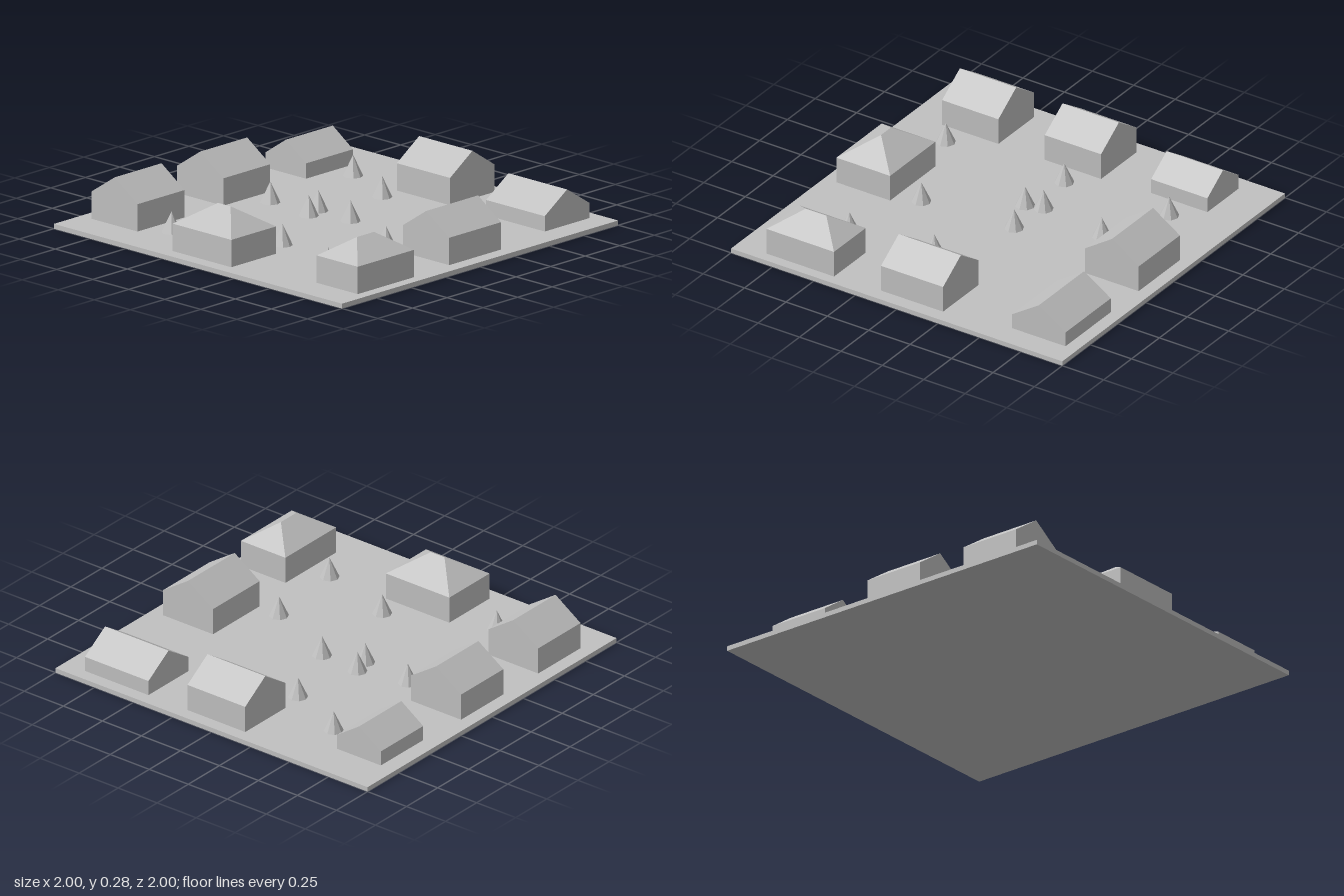
import * as THREE from 'three';

const BASE = 0.025;
const stone = new THREE.MeshStandardMaterial({ color: 0xc0c0c0 });
stone.name = 'pale grey';
stone.flatShading = true;

// Roof along x: the ridge ends are pulled in by inset (0 gives upright gables)
function roofGeometry(length, width, height, inset) {
  const l = length / 2, w = width / 2, r = l - inset;
  const a = [-l, 0, w], b = [l, 0, w], c = [l, 0, -w], d = [-l, 0, -w];
  const p = [-r, height, 0], q = [r, height, 0];
  const corners = [a, b, q, a, q, p, b, c, q, c, d, p, c, p, q, d, a, p];
  const geometry = new THREE.BufferGeometry();
  geometry.setAttribute('position', new THREE.Float32BufferAttribute(corners.flat(), 3));
  geometry.computeVertexNormals();
  return geometry;
}

function addMesh(parent, geometry, name, x, y, z) {
  const mesh = new THREE.Mesh(geometry, stone);
  mesh.name = name;
  mesh.position.set(x, y, z);
  parent.add(mesh);
  return mesh;
}

// House filling a footprint, with its ridge along x or z
function house({ name, x, z, eave, ridge, along, inset = 0 }) {
  const group = new THREE.Group();
  group.name = name;
  const sx = x[1] - x[0], sz = z[1] - z[0];
  const [length, width] = along === 'x' ? [sx, sz] : [sz, sx];
  const wall = eave - BASE;
  addMesh(group, new THREE.BoxGeometry(length, wall, width), 'walls', 0, wall / 2, 0);
  addMesh(group, roofGeometry(length, width, ridge - eave, inset), 'roof', 0, wall, 0);
  group.position.set((x[0] + x[1]) / 2, BASE, (z[0] + z[1]) / 2);
  if (along === 'z') group.rotation.y = Math.PI / 2;
  return group;
}

const TALL = { eave: 0.168, ridge: 0.275 };
const LOW = { eave: 0.105, ridge: 0.21 };

const HOUSES = [
  { name: 'leftBackHouse', x: [-0.91, -0.63], z: [-0.78, -0.44], along: 'z', eave: 0.105, ridge: 0.2 },
  { name: 'leftMiddleHouse', x: [-0.925, -0.605], z: [-0.155, 0.185], along: 'z', ...TALL },
  { name: 'leftFrontHouse', x: [-0.925, -0.605], z: [0.465, 0.805], along: 'z', ...TALL },
  { name: 'backMiddleHouse', x: [-0.16, 0.21], z: [-0.93, -0.607], along: 'x', ...TALL },
  { name: 'backRightHouse', x: [0.46, 0.867], z: [-0.93, -0.607], along: 'x', ...LOW },
  { name: 'rightHouse', x: [0.605, 0.925], z: [-0.23, 0.145], along: 'z', ...TALL },
  { name: 'frontHippedHouse', x: [-0.245, 0.162], z: [0.603, 0.927], along: 'x', ...TALL, inset: 0.16 },
  { name: 'cornerHippedHouse', x: [0.657, 0.942], z: [0.417, 0.825], along: 'z', eave: 0.168, ridge: 0.263, inset: 0.142 },
];

const TREES = [
  [-0.495, -0.64], [-0.135, -0.475], [-0.2, -0.08], [-0.175, 0.015], [0.04, -0.063],
  [-0.475, -0.02], [0.47, 0.13], [0.08, 0.47], [0.525, 0.605], [-0.475, 0.695],
];

export function createModel() {
  const model = new THREE.Group();
  model.name = 'village';

  // Ground slab
  addMesh(model, new THREE.BoxGeometry(2, BASE, 2), 'ground', 0, BASE / 2, 0);

  // Houses around the square
  for (const spec of HOUSES) model.add(house(spec));

  // Small cone trees
  const height = 0.11;
  const cone = new THREE.ConeGeometry(0.051, height, 8);
  TREES.forEach(([x, z], i) => addMesh(model, cone, `tree${i + 1}`, x, BASE + height / 2, z));

  return model;
}
